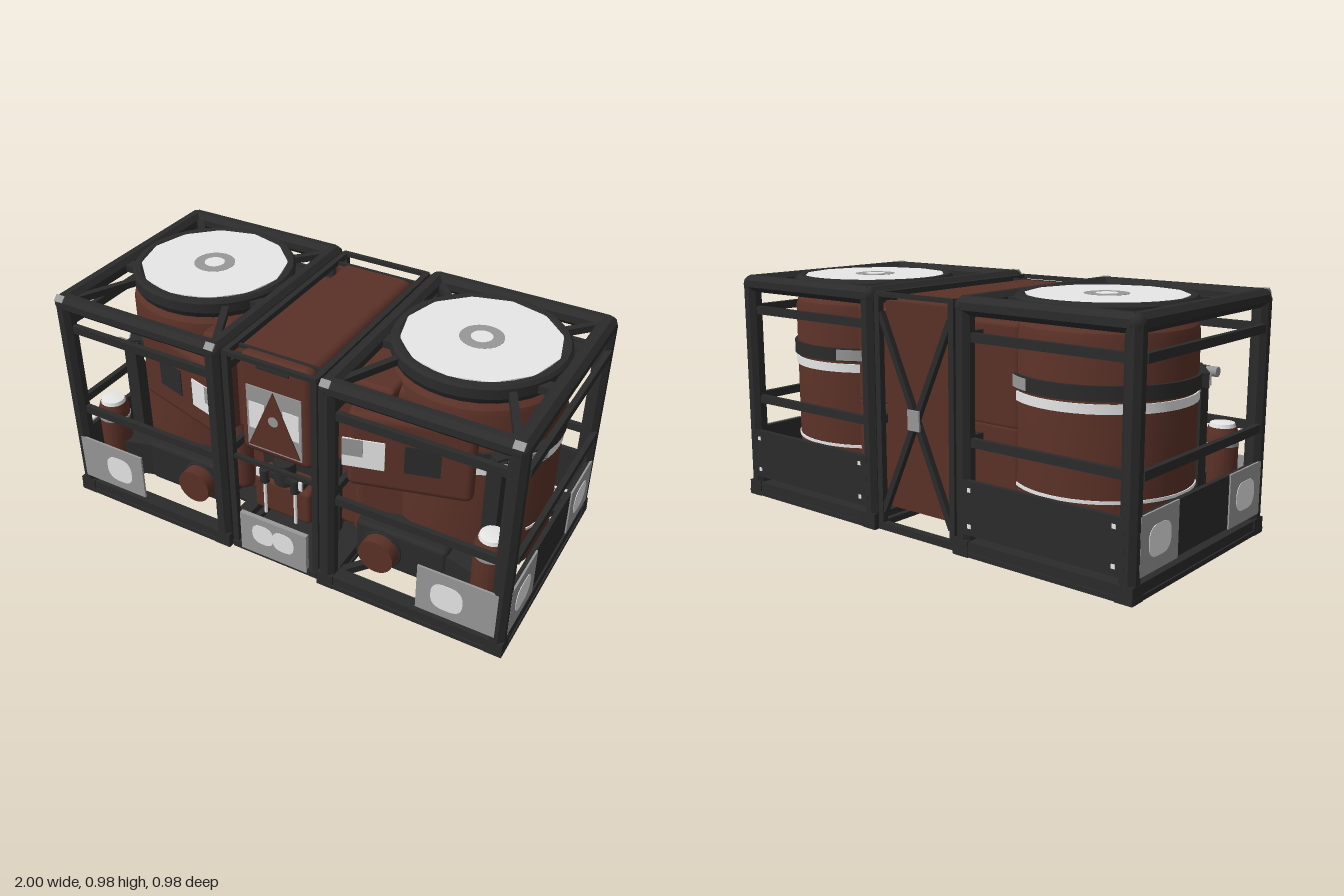
import * as THREE from 'three';
import { toCreasedNormals } from 'three/addons/utils/BufferGeometryUtils.js';
import { RoundedBoxGeometry } from 'three/addons/geometries/RoundedBoxGeometry.js';

const mat = (name, color) => {
  const m = new THREE.MeshStandardMaterial({ color });
  m.name = name;
  return m;
};

export function createModel() {
  const root = new THREE.Group();
  root.name = 'twinTankUnit';
  const rust = mat('rust brown', 0x5a3127);
  const dark = mat('charcoal', 0x2b2b2b);
  const grey = mat('mid grey', 0x989898);
  const pale = mat('pale grey', 0xececec);
  let parent = root;

  const add = (name, geo, m, x = 0, y = 0, z = 0) => {
    const mesh = new THREE.Mesh(geo, m);
    mesh.name = name;
    mesh.position.set(x, y, z);
    parent.add(mesh);
    return mesh;
  };
  // Box given by its limits; r rounds the edges
  const block = (name, m, x0, x1, y0, y1, z0, z1, r = 0) => {
    const w = Math.abs(x1 - x0), h = y1 - y0, d = z1 - z0;
    const geo = r ? new RoundedBoxGeometry(w, h, d, 2, r) : new THREE.BoxGeometry(w, h, d);
    return add(name, geo, m, (x0 + x1) / 2, (y0 + y1) / 2, (z0 + z1) / 2);
  };
  // Straight member between two points: square bar or eight-sided tube
  const member = (name, m, a, b, w, h = w, tube = false) => {
    const p = new THREE.Vector3(...a), q = new THREE.Vector3(...b);
    const len = p.distanceTo(q);
    const geo = tube
      ? toCreasedNormals(new THREE.CylinderGeometry(w, w, len, 8).rotateY(Math.PI / 8).rotateX(Math.PI / 2), 0.5)
      : new THREE.BoxGeometry(w, h, len);
    const mesh = add(name, geo, m, ...p.clone().add(q).multiplyScalar(0.5).toArray());
    mesh.lookAt(q);
    return mesh;
  };
  // Turned part; gap leaves it open by that angle on both sides of the front
  const lathe = (name, m, pts, x, z, seg = 48, gap = 0) => {
    const profile = pts.map(p => new THREE.Vector2(...p));
    return add(name, toCreasedNormals(new THREE.LatheGeometry(profile, seg, gap, 2 * Math.PI - 2 * gap), 0.4), m, x, 0, z);
  };
  // Flat hoop around a tank
  const hoop = (name, m, r, y0, y1, x, z, gap = 0) =>
    lathe(name, m, [[r - 0.03, y0], [r, y0], [r, y1], [r - 0.03, y1]], x, z, 48, gap);
  // Rounded lamp patch facing +z
  const patch = (w, h, r) => {
    const s = new THREE.Shape(), a = w / 2, b = h / 2;
    s.moveTo(-a + r, -b).lineTo(a - r, -b).quadraticCurveTo(a, -b, a, -b + r)
      .lineTo(a, b - r).quadraticCurveTo(a, b, a - r, b)
      .lineTo(-a + r, b).quadraticCurveTo(-a, b, -a, b - r)
      .lineTo(-a, -b + r).quadraticCurveTo(-a, -b, -a + r, -b);
    return new THREE.ExtrudeGeometry(s, { depth: 0.003, bevelEnabled: false });
  };

  const makeSide = s => {
    const module = new THREE.Group();
    module.name = s > 0 ? 'leftTankModule' : 'rightTankModule';
    root.add(module);
    parent = module;
    const cx = 0.6 * s, cz = -0.07, xi = 0.245 * s, xo = 0.963 * s, zf = 0.45;

    // Outer cage
    for (const x of [xi, xo]) {
      for (const z of [zf, -zf]) {
        member('cagePost', dark, [x, 0.03, z], [x, 0.94, z], 0.037, 0, true);
        add('cageCorner', new THREE.SphereGeometry(0.038, 8, 6), dark, x, 0.937, z);
        block('cageFoot', dark, x - 0.035, x + 0.035, 0, 0.065, z - 0.035, z + 0.035);
      }
      add('cornerChip', new THREE.BoxGeometry(0.04, 0.03, 0.006), grey, x, 0.965, 0.474).rotation.x = -Math.PI / 4;
      member('topSideRail', dark, [x, 0.94, -zf], [x, 0.94, zf], 0.037, 0, true);
      member('baseSideRail', dark, [x, 0.033, -zf], [x, 0.033, zf], 0.06, 0.058);
      block('baseLip', dark, x - 0.036, x + 0.036, 0.003, 0.022, -0.487, 0.487);
    }
    for (const z of [zf, -zf]) {
      member('topCrossRail', dark, [xi, 0.94, z], [xo, 0.94, z], 0.037, 0, true);
      member('baseCrossRail', dark, [xi, 0.033, z], [xo, 0.033, z], 0.06, 0.058);
      block('baseLip', dark, xi, xo, 0.003, 0.022, z - 0.036, z + 0.036);
      for (const y of [0.437, 0.827]) member('cageRail', dark, [xi, y, z], [xo, y, z], 0.022, 0.034);
    }
    for (const y of [0.437, 0.827])
      for (const x of [xi, xo + 0.025 * s]) member('cageRail', dark, [x, y, -0.43], [x, y, 0.42], 0.022, 0.034);

    // Lower guard panels and lamp plates
    block('sideGuard', dark, 0.973 * s, 0.992 * s, 0.09, 0.30, -0.44, 0.44);
    block('backGuard', dark, 0.25 * s, 0.96 * s, 0.09, 0.30, -0.485, -0.464);
    for (const z of [0.317, -0.317]) {
      block('sideLampPlate', grey, 0.99 * s, 0.998 * s, 0.088, 0.302, z - 0.126, z + 0.126);
      add('sideLamp', patch(0.147, 0.115, 0.055), pale, 0.997 * s, 0.195, z).rotation.y = s * Math.PI / 2;
    }
    block('frontLampPlate', grey, 0.64 * s, 0.962 * s, 0.09, 0.30, 0.476, 0.485);
    add('frontLamp', patch(0.13, 0.122, 0.055), pale, 0.765 * s, 0.19, 0.484);
    for (const x of [0.29, 0.92])
      for (const y of [0.125, 0.265]) block('guardBolt', pale, (x - 0.008) * s, (x + 0.008) * s, y - 0.008, y + 0.008, -0.488, -0.484);

    // Tank with hoops
    lathe('tank', rust, [[0, 0.06], [0.27, 0.06], [0.32, 0.08], [0.342, 0.12], [0.342, 0.85],
      [0.335, 0.875], [0.305, 0.905], [0, 0.908]], cx, cz);
    hoop('darkHoop', dark, 0.354, 0.645, 0.70, cx, cz);
    hoop('paleHoop', pale, 0.348, 0.60, 0.635, cx, cz);
    hoop('lowerHoop', pale, 0.346, 0.28, 0.292, cx, cz, 1.1);
    const plate = new THREE.CylinderGeometry(0.357, 0.357, 0.045, 8, 1, true, Math.PI + 0.55 * s - 0.24, 0.48);
    add('hoopPlate', plate, grey, cx, 0.673, cz);

    // Tank lid, collar and struts
    lathe('lidCollar', dark, [[0.27, 0.90], [0.325, 0.90], [0.338, 0.925], [0.338, 0.965], [0.328, 0.978],
      [0.306, 0.978], [0.27, 0.955], [0.27, 0.90]], cx, cz, 32);
    add('lid', new THREE.CylinderGeometry(0.304, 0.304, 0.03, 12), pale, cx, 0.961, cz);
    add('lidHub', new THREE.CylinderGeometry(0.085, 0.085, 0.003, 24), grey, cx, 0.9755, cz);
    add('lidCap', new THREE.CylinderGeometry(0.042, 0.042, 0.002, 20), pale, cx, 0.977, cz);
    for (const dx of [-1, 1]) {
      const x = cx + dx * 0.35;
      member('frontStrut', dark, [x, 0.94, 0.44], [cx + dx * 0.22, 0.94, 0.17], 0.028);
      member('backStrut', dark, [x, 0.94, -0.44], [cx + dx * 0.23, 0.94, -0.31], 0.028);
      for (const z of [-0.22, 0.08])
        member('collarBracket', dark, [x, 0.94, z], [cx + dx * 0.28, 0.94, z], 0.05, 0.03);
      member('baseBrace', dark, [cx + dx * 0.34, 0.035, 0.43], [cx - dx * 0.02, 0.035, -0.02], 0.03);
      member('baseBrace', dark, [cx + dx * 0.34, 0.035, -0.43], [cx - dx * 0.02, 0.035, 0.02], 0.03);
    }

    // Housing between tank and centre
    block('innerHousing', rust, 0.17 * s, 0.42 * s, 0.48, 0.88, -0.36, 0.29, 0.02);
    block('innerHousingBase', rust, 0.17 * s, 0.42 * s, 0.12, 0.5, -0.36, 0.23, 0.02);

    // Front cabinet, turned outwards
    parent = new THREE.Group();
    parent.name = 'cabinetGroup';
    parent.position.set(0.52 * s, 0, 0.335);
    parent.rotation.y = 0.27 * s;
    module.add(parent);
    block('frontHousing', rust, -0.24 * s, 0.22 * s, 0.12, 0.87, -0.35, -0.11, 0.05);
    block('cabinet', rust, -0.24 * s, 0.24 * s, 0.475, 0.81, -0.15, 0, 0.03);
    block('cabinetVent', dark, -0.02 * s, 0.115 * s, 0.58, 0.70, -0.004, 0.004);
    block('cabinetPlate', pale, -0.255 * s, -0.093 * s, 0.575, 0.70, -0.003, 0.005);
    block('cabinetPlateBand', grey, -0.255 * s, -0.175 * s, 0.625, 0.70, 0.004, 0.007);
    parent = module;

    // Duct with round motor drum
    block('duct', dark, 0.31 * s, 0.70 * s, 0.09, 0.28, 0.16, 0.355, 0.02);
    member('ductBranch', dark, [0.66 * s, 0.18, 0.28], [0.83 * s, 0.18, 0.33], 0.11, 0.16);
    add('drum', new THREE.CylinderGeometry(0.075, 0.08, 0.12, 24).rotateX(Math.PI / 2), rust, 0.43 * s, 0.185, 0.355);
    add('drumRim', new THREE.TorusGeometry(0.08, 0.006, 8, 24), dark, 0.43 * s, 0.185, 0.36);

    // Canister in the front outer corner
    lathe('canister', rust, [[0, 0.08], [0.06, 0.08], [0.065, 0.10], [0.065, 0.41], [0.055, 0.44], [0, 0.445]], 0.87 * s, 0.355, 20);
    hoop('canisterBand', grey, 0.067, 0.368, 0.38, 0.87 * s, 0.355);
    lathe('canisterCap', pale, [[0, 0.44], [0.052, 0.44], [0.048, 0.455], [0, 0.462]], 0.87 * s, 0.355, 20);

    // Riser pipe joining the dark hoop
    member('riser', dark, [0.82 * s, 0.09, 0.24], [0.82 * s, 0.69, 0.24], 0.058);
    member('riserElbow', dark, [0.80 * s, 0.672, 0.24], [0.926 * s, 0.672, 0.068], 0.055);
    member('elbowPlate', grey, [0.851 * s, 0.672, 0.22], [0.95 * s, 0.672, 0.085], 0.008, 0.038);
    add('riserValve', new THREE.CylinderGeometry(0.02, 0.02, 0.05, 8).rotateZ(Math.PI / 2), grey, 0.87 * s, 0.672, 0.25);
  };
  makeSide(1);
  makeSide(-1);

  // Central housing
  parent = new THREE.Group();
  parent.name = 'centreModule';
  root.add(parent);
  block('centreHousing', rust, -0.16, 0.16, 0.50, 0.945, -0.41, 0.43, 0.035);
  block('centreCore', rust, -0.18, 0.18, 0.09, 0.52, -0.40, 0.23, 0.015);
  block('backPanel', rust, -0.195, 0.195, 0.09, 0.92, -0.412, -0.38);
  block('handle', dark, -0.07, 0.07, 0.905, 0.915, 0.425, 0.436);

  // Front marker plate with a plain triangle
  block('markerPlate', grey, -0.12, 0.12, 0.54, 0.82, 0.427, 0.435);
  for (const s of [-1, 1]) block('markerPatch', pale, 0.04 * s, 0.11 * s, 0.63, 0.75, 0.432, 0.437);
  const tri = new THREE.Shape([[-0.115, 0.55], [0.115, 0.55], [0, 0.82]].map(p => new THREE.Vector2(...p)));
  add('markerTriangle', new THREE.ExtrudeGeometry(tri, { depth: 0.004, bevelEnabled: false }), rust, 0, 0, 0.436);
  add('markerDot', new THREE.CylinderGeometry(0.022, 0.022, 0.004, 16).rotateX(Math.PI / 2), grey, 0, 0.69, 0.44);

  // Coupling assembly under the housing
  block('pumpBody', rust, -0.13, 0.13, 0.20, 0.36, 0.28, 0.40, 0.02);
  block('pumpBack', dark, -0.18, 0.18, 0.08, 0.46, 0.225, 0.25);
  block('couplingBar', dark, -0.11, 0.11, 0.385, 0.41, 0.36, 0.41);
  add('coupling', new THREE.CylinderGeometry(0.045, 0.045, 0.1, 12), dark, 0, 0.41, 0.37);
  for (const s of [-1, 1]) {
    member('pistonRod', pale, [0.07 * s, 0.20, 0.41], [0.07 * s, 0.36, 0.41], 0.007, 0, true);
    add('rodHead', new THREE.CylinderGeometry(0.02, 0.02, 0.06, 10), dark, 0.07 * s, 0.39, 0.41);
    block('rodNut', pale, 0.09 * s, 0.105 * s, 0.38, 0.42, 0.41, 0.418);
  }

  // Lower front plate with lamp patches
  block('lowerPlate', grey, -0.155, 0.155, 0.02, 0.21, 0.455, 0.475);
  for (const s of [-1, 1]) add('lowerLamp', patch(0.1, 0.095, 0.045), pale, 0.048 * s, 0.13, 0.474);

  // Slim centre frame
  for (const s of [-1, 1]) {
    for (const z of [-0.455, 0.45]) member('centrePost', dark, [0.19 * s, 0.01, z], [0.19 * s, 0.95, z], 0.026);
    for (const y of [0.03, 0.945]) member('centreRail', dark, [0.192 * s, y, -0.455], [0.192 * s, y, 0.455], 0.024);
    member('backCrossBar', dark, [0.18 * s, 0.88, -0.453], [-0.18 * s, 0.08, -0.453], 0.024);
  }
  for (const z of [-0.455, 0.455]) {
    member('centreTopBar', dark, [-0.2, 0.95, z], [0.2, 0.95, z], 0.018);
    member('centreBaseBar', dark, [-0.2, 0.02, z], [0.2, 0.02, z], 0.03);
  }
  for (const z of [-0.38, 0.375]) member('topTieRod', dark, [-0.24, 0.94, z], [0.24, 0.94, z], 0.014);
  member('frontTieBar', dark, [-0.2, 0.475, 0.45], [0.2, 0.475, 0.45], 0.016);
  block('crossPlate', grey, -0.03, 0.03, 0.44, 0.52, -0.473, -0.465);

  // Underside skid plates
  block('skidPlate', dark, -0.5, 0.5, 0.004, 0.02, -0.17, 0.21);
  block('skidTongue', dark, -0.21, 0.21, 0.003, 0.019, 0.2, 0.46);
  return root;
}
